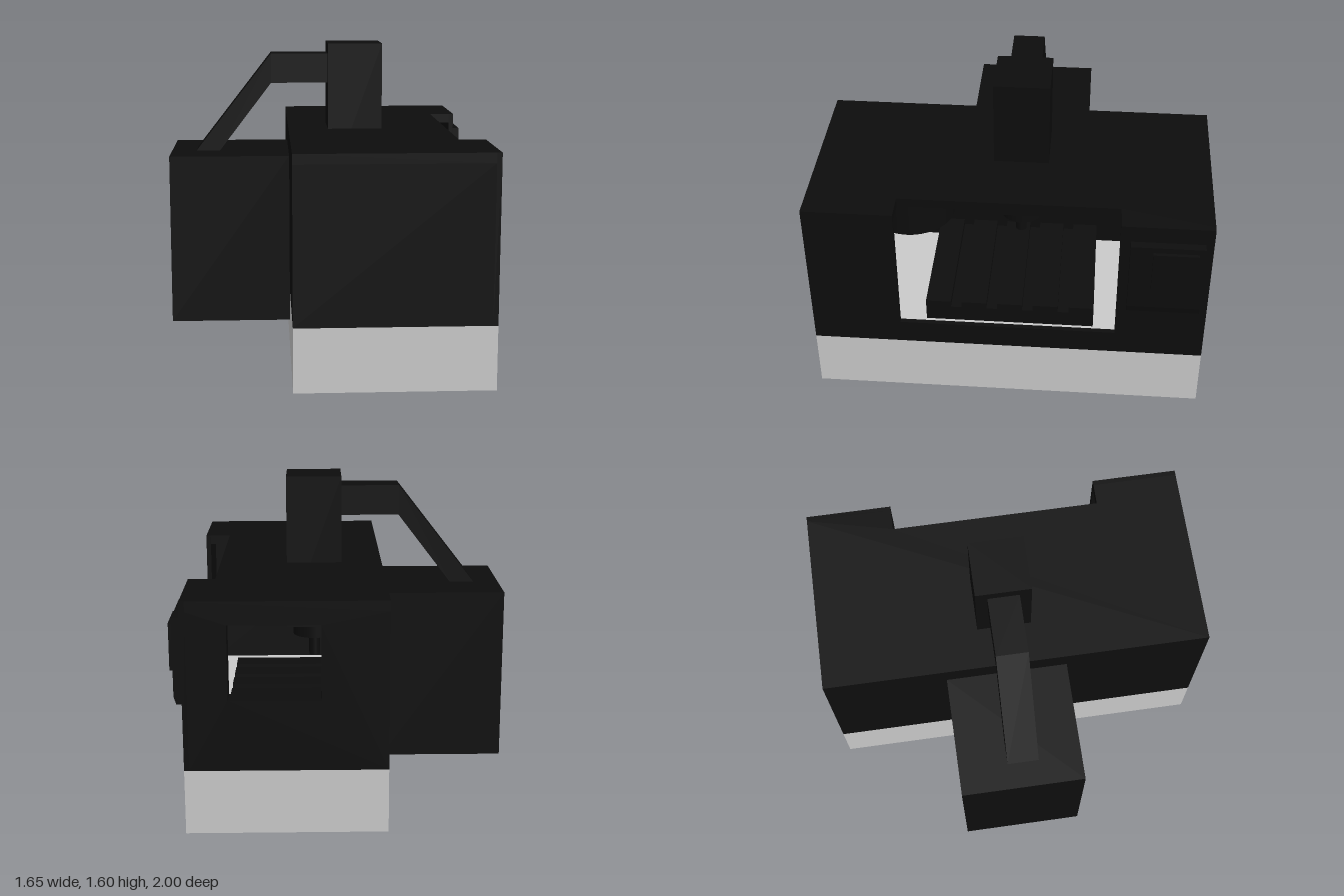
import * as THREE from 'three';

export function createModel() {
  const model = new THREE.Group();
  model.name = 'machiningCentre';
  const black = new THREE.MeshStandardMaterial({ color: 0x0d0d0d });
  black.name = 'black';
  const grey = new THREE.MeshStandardMaterial({ color: 0xcacaca });
  grey.name = 'lightGrey';

  const add = (name, geometry, material = black, parent = model) => {
    const mesh = new THREE.Mesh(geometry, material);
    mesh.name = name;
    parent.add(mesh);
    return mesh;
  };
  // Box given by its limits on each axis
  const box = (name, x0, x1, y0, y1, z0, z1, material, parent) => {
    const mesh = add(name, new THREE.BoxGeometry(x1 - x0, y1 - y0, z1 - z0), material, parent);
    mesh.position.set((x0 + x1) / 2, (y0 + y1) / 2, (z0 + z1) / 2);
    return mesh;
  };
  const cylinder = (name, r, y0, y1, x, z, parent) => {
    const mesh = add(name, new THREE.CylinderGeometry(r, r, y1 - y0, 40), black, parent);
    mesh.position.set(x, (y0 + y1) / 2, z);
  };
  const outline = (points) => new THREE.Shape(points.map(([x, y]) => new THREE.Vector2(x, y)));
  const slab = (points, depth, hole) => {
    const shape = outline(points);
    if (hole) shape.holes.push(outline(hole));
    return new THREE.ExtrudeGeometry(shape, { depth, bevelEnabled: false });
  };
  const rect = (x0, x1, y0, y1) => [[x0, y0], [x1, y0], [x1, y1], [x0, y1]];

  const L = -0.21, R = 0.765, FLOOR = 0.32, TOP = 1.15, CEIL = 1.1, IN = 0.9;

  // Plinth, whose top is the floor of the work space
  box('base', L, R, 0, FLOOR, -1, 1, grey);

  // Hollow enclosure
  const enclosure = new THREE.Group();
  enclosure.name = 'enclosure';
  model.add(enclosure);
  box('leftWall', L, L + 0.09, FLOOR, CEIL, -IN, IN, black, enclosure);
  box('frontWall', L, R - 0.025, FLOOR, CEIL, IN, 1, black, enclosure);
  // Back wall with its window opening
  add('backWall', slab(rect(L, R - 0.025, FLOOR, CEIL), 0.1, rect(0.11, 0.55, 0.67, 1.035)), black, enclosure)
    .position.z = -1;
  // Right wall with a doorway that is open at the top
  add('doorWall', slab([
    [-1, FLOOR], [1, FLOOR], [1, TOP], [0.55, TOP], [0.55, 0.45],
    [-0.55, 0.45], [-0.55, TOP], [-1, TOP],
  ], 0.025).rotateY(Math.PI / 2), black, enclosure).position.x = R - 0.025;
  // Roof notched above the doorway
  add('roof', slab([
    [L, -1], [R - 0.025, -1], [R - 0.025, -0.55], [0.63, -0.55],
    [0.63, 0.55], [R - 0.025, 0.55], [R - 0.025, 1], [L, 1],
  ], TOP - CEIL).rotateX(-Math.PI / 2), black, enclosure).position.y = CEIL;

  // Cabinet on the left-hand side and the cable duct that rises from it
  box('cabinet', -0.83, L, 0.15, 1.03, -0.37, 0.26);
  add('cableDuct', slab([
    [0, 1.39], [0, 1.545], [-0.3, 1.545], [-0.7, 1.03], [-0.575, 1.03], [-0.3, 1.39],
  ], 0.16)).position.z = -0.12;

  // Spindle head reaching down through the roof
  const spindle = new THREE.Group();
  spindle.name = 'spindle';
  model.add(spindle);
  box('spindleHead', 0, 0.285, 0.8, 1.6, -0.18, 0.1, black, spindle);
  cylinder('spindleNose', 0.113, 0.73, 0.8, 0.143, -0.035, spindle);
  cylinder('cuttingTool', 0.029, 0.61, 0.73, 0.143, -0.03, spindle);

  // Tool carousel hung from the ceiling
  const carousel = new THREE.Group();
  carousel.name = 'toolCarousel';
  model.add(carousel);
  cylinder('carouselDrum', 0.23, 0.75, 0.94, 0.195, 0.55, carousel);
  cylinder('carouselShaft', 0.06, 0.94, CEIL, 0.195, 0.55, carousel);

  // Work table with slots between raised bars
  const table = new THREE.Group();
  table.name = 'workTable';
  model.add(table);
  box('tableBed', -0.1, 0.59, FLOOR, 0.41, -0.44, 0.44, black, table);
  const bars = 5, pitch = 0.88 / (bars - 0.3);
  for (let i = 0; i < bars; i++) {
    const z = -0.44 + i * pitch;
    box('tableBar', -0.1, 0.59, 0.41, 0.445, z, z + pitch * 0.7, black, table);
  }

  // Control panel beside the doorway, with its raised screen
  add('controlPanel', slab([
    [R, 0.64], [0.795, 0.64], [0.807, 0.68], [0.807, 1.06], [R, 1.06],
  ], 0.36)).position.z = -0.96;
  box('controlScreen', 0.807, 0.825, 0.8, 1.03, -0.93, -0.71);

  return model;
}
